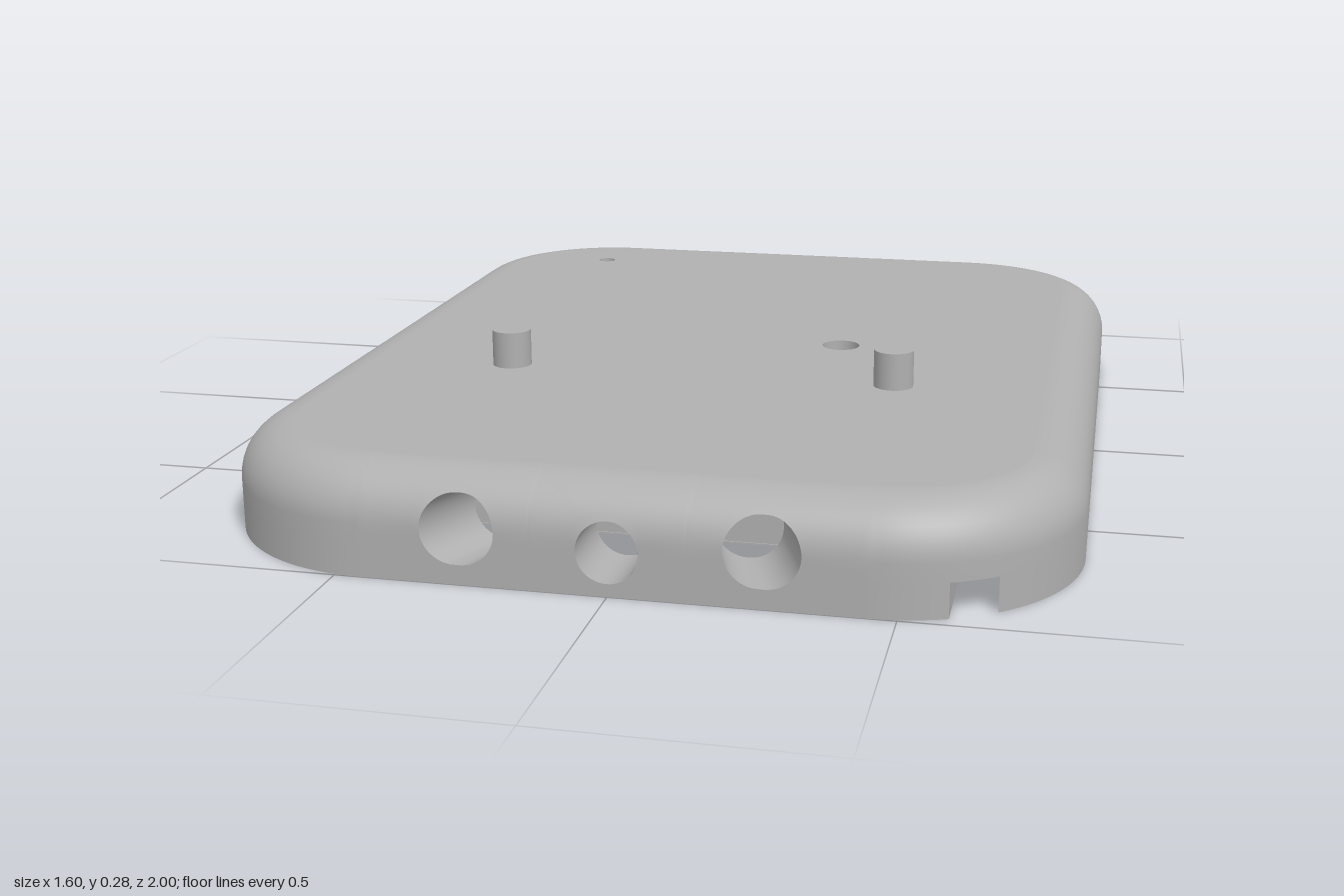
import * as THREE from 'three';

const R = 0.35, F = 0.1, H = 0.2, CH = 0.065, N = 48;
const S_TOP = F + F * Math.PI / 2;

export function createModel() {
  const model = new THREE.Group();
  const grey = new THREE.MeshStandardMaterial({ color: 0xb0b0b0, side: THREE.DoubleSide });
  grey.name = 'plain grey';
  const add = (name, geo) => {
    const m = new THREE.Mesh(geo, grey);
    m.name = name;
    model.add(m);
    return m;
  };

  // Skin between rows of points; skip(row, col) leaves openings
  const grid = (rows, closed = false, skip = () => false) => {
    const n = rows[0].length, idx = [];
    for (let j = 0; j < rows.length - 1; j++)
      for (let i = 0; i < (closed ? n : n - 1); i++) {
        if (skip(j, i)) continue;
        const a = j * n + i, b = j * n + (i + 1) % n;
        idx.push(a, b, b + n, a, b + n, a + n);
      }
    const g = new THREE.BufferGeometry();
    g.setAttribute('position', new THREE.Float32BufferAttribute(rows.flat(2), 3));
    g.setIndex(idx);
    g.computeVertexNormals();
    return g;
  };
  const flat = (g) => {
    const f = g.toNonIndexed();
    f.computeVertexNormals();
    return f;
  };

  // Horizontal face at height y from (x, z) points, with holes
  const circle = (x, z, r) => Array.from({ length: 32 }, (_, i) =>
    [x + r * Math.cos(i * Math.PI / 16), z + r * Math.sin(i * Math.PI / 16)]);
  const rect = ([x0, z0, x1, z1], e = 0) =>
    [[x0 + e, z0 + e], [x1 - e, z0 + e], [x1 - e, z1 - e], [x0 + e, z1 - e]];
  const face = (name, pts, y, holes = []) => {
    const v = (p) => p.map(([x, z]) => new THREE.Vector2(x, z));
    const s = new THREE.Shape(v(pts));
    holes.forEach((h) => s.holes.push(new THREE.Path(v(h))));
    add(name, new THREE.ShapeGeometry(s).rotateX(Math.PI / 2).translate(0, y, 0));
  };
  // Vertical walls; edges on the drilled planes are built separately
  const drilled = [0.86, -0.94, -0.9];
  const walls = (name, pts, y0, y1, closed = true) => {
    const at = (y) => pts.map(([x, z]) => [x, y, z]);
    const skip = (j, i) => {
      const a = pts[i][1], b = pts[(i + 1) % pts.length][1];
      return a === b && drilled.includes(a);
    };
    add(name, flat(grid([at(y0), at(y1)], closed, skip)));
  };
  const bore = (name, x, z, r, y0, y1) => {
    const g = new THREE.CylinderGeometry(r, r, y1 - y0, 32, 1, true);
    add(name, g).position.set(x, (y0 + y1) / 2, z);
  };

  // Outer shell: a filleted profile swept round each side
  const half = (inset) => {
    const r = R - inset, pts = [];
    for (const [cz, a0] of [[0.65, 0], [-0.65, Math.PI / 2]])
      for (let i = 0; i <= 24; i++) {
        const a = a0 + i * Math.PI / 48;
        pts.push([0.45 + r * Math.sin(a), cz + r * Math.cos(a)]);
      }
    return pts;
  };
  const mirror = (pts) => pts.map(([x, z]) => [-x, z]).reverse();
  const lift = (s) => {
    if (s <= F) return [s, 0];
    const a = (s - F) / F;
    return [F + F * Math.sin(a), F - F * Math.cos(a)];
  };
  const profile = [0, CH, F];
  for (let i = 1; i <= 10; i++) profile.push(F + (S_TOP - F) * i / 10);
  for (const side of ['left', 'right']) {
    const rows = profile.map((s) => {
      const [y, d] = lift(s);
      const p = half(d);
      return (side === 'left' ? p : mirror(p)).map(([x, z]) => [x, y, z]);
    });
    add(side + 'Shell', grid(rows, false, (j, i) => side === 'left' && j === 0 && i >= 6 && i < 10));
  }

  // Loop of a round or stadium opening in (x, y)
  const opening = (cx, cy, hw, hh = hw) => Array.from({ length: N }, (_, i) => {
    const a = -0.75 * Math.PI + i / N * 2 * Math.PI, c = Math.cos(a);
    return [cx + hh * c + (hw - hh) * Math.sign(c), cy + hh * Math.sin(a)];
  });
  // Wall panel with an opening; dir is +1 for the front and -1 for the back
  const panel = (name, x0, x1, top, hole, map) => {
    const c = [[x0, 0], [x1, 0], [x1, top], [x0, top]];
    const rim = Array.from({ length: N }, (_, i) => {
      const k = Math.floor(i / 12), t = (i % 12) / 12, a = c[k], b = c[(k + 1) % 4];
      return [a[0] + (b[0] - a[0]) * t, a[1] + (b[1] - a[1]) * t];
    });
    const rows = [];
    for (let j = 0; j <= 10; j++)
      rows.push(rim.map((p, i) => map(p[0] + (hole[i][0] - p[0]) * j / 10, p[1] + (hole[i][1] - p[1]) * j / 10)));
    add(name, grid(rows, true));
    return rows[10];
  };
  const outer = (name, x0, x1, dir, hole) => {
    const bent = hole.map(([x, y]) => [x, y <= F ? y : F + F * Math.asin((y - F) / F)]);
    return panel(name, x0, x1, S_TOP, bent, (x, s) => {
      const [y, d] = lift(s);
      return [x, y, dir * (1 - d)];
    });
  };
  const inner = (name, x0, x1, top, z, hole) => panel(name, x0, x1, top, hole, (x, y) => [x, y, z]);
  const tunnel = (name, a, b) => add(name, grid([a, b], true));

  // Front face: a centre bore and two slanted bores
  const edges = [-0.45, -0.14, 0.14, 0.45], inEdges = [-0.49, -0.13, 0.13, 0.36];
  [-1, 0, 1].forEach((k, i) => {
    const out = k ? opening(k * 0.27, 0.1, 0.068, 0.063) : opening(0, 0.08, 0.056);
    const inn = k ? opening(k * 0.22, 0.1, 0.063) : opening(0, 0.08, 0.056);
    tunnel('frontBore', outer('frontPanel', edges[i], edges[i + 1], 1, out),
      inner('frontRowWall', inEdges[i], inEdges[i + 1], 0.17, 0.86, inn));
  });

  // Back face: recessed port slot, round bore and plain panel
  const slot = opening(0, 0.085, 0.09, 0.042);
  const recess = outer('portPanel', -0.2, 0.2, -1, opening(0, 0.085, 0.14, 0.066));
  const floorRim = recess.map(([x, y]) => [x, y, -0.965]);
  const slotRim = slot.map(([x, y]) => [x, y, -0.965]);
  tunnel('portRecess', recess, floorRim);
  tunnel('portRecessFloor', floorRim, slotRim);
  tunnel('portSlot', slotRim, inner('portInnerWall', -0.13, 0.13, 0.16, -0.94, slot));
  tunnel('backBore', outer('borePanel', 0.2, 0.45, -1, opening(0.34, 0.1, 0.065)),
    inner('boreInnerWall', 0.265, 0.415, 0.17, -0.9, opening(0.34, 0.1, 0.064)));
  add('plainBackPanel', grid(profile.map((s) => {
    const [y, d] = lift(s);
    return [[-0.2, y, d - 1], [-0.45, y, d - 1]];
  })));

  // Cable channel from the front notch to the port and bore pockets
  const rimPts = half(0);
  const cable = [rimPts[6], [0.584, 0.04], [0.2, 0.04], [-0.05, -0.65], [-0.13, -0.65], [-0.13, -0.94],
    [0.13, -0.94], [0.13, -0.8], [0.265, -0.8], [0.265, -0.9], [0.415, -0.9], [0.415, -0.7],
    [0.265, -0.7], [0.265, -0.73], [0.13, -0.73], [0.13, -0.65], [0.03, -0.65], [0.27, -0.055],
    [0.663, -0.055], rimPts[10]];
  // Second channel joining the board pocket and the front row
  const link = [[-0.53, -0.81], [-0.17, -0.81], [-0.17, -0.35], [-0.42, -0.35], [-0.42, 0.7],
    [0.36, 0.7], [0.36, 0.86], [-0.49, 0.86], [-0.49, -0.35], [-0.53, -0.35]];
  const battery = [-0.36, 0.165, 0.36, 0.6];
  const port = [-0.13, -0.94, 0.13, -0.65], boreBox = [0.265, -0.9, 0.415, -0.7];
  const board = [-0.53, -0.81, -0.17, -0.35], row = [-0.49, 0.7, 0.36, 0.86];
  const wireHole = circle(0.25, -0.01, 0.04), pinHole = circle(-0.48, -0.75, 0.02);

  walls('cableChannelWalls', cable, 0, CH, false);
  face('cableChannelRoof', [...cable, rimPts[9], rimPts[8], rimPts[7]], CH,
    [rect(port, 0.002), rect(boreBox, 0.002), wireHole]);
  walls('linkChannelWalls', link, 0, CH);
  face('linkChannelRoof', link, CH, [rect(board, 0.002), rect(row, 0.002)]);
  walls('batteryPocketRim', rect(battery), 0, CH);
  for (const [name, r, depth, holes] of [['portPocket', port, 0.16, []], ['borePocket', boreBox, 0.17, []],
    ['boardPocket', board, 0.1, [pinHole]], ['frontRowPocket', row, 0.17, []], ['batteryPocket', battery, 0.1, []]]) {
    walls(name + 'Walls', rect(r), CH, depth);
    face(name + 'Roof', rect(r), depth, holes);
  }

  // Underside with four screw holes
  const screws = [[0.705, -0.36], [-0.705, -0.36], [0.705, 0.635], [-0.705, 0.635]];
  face('underside', [...rimPts.slice(0, 6), ...cable, ...rimPts.slice(11), ...mirror(rimPts)], 0,
    [link, rect(battery), ...screws.map(([x, z]) => circle(x, z, 0.02))]);
  for (const [x, z] of screws) {
    bore('screwHole', x, z, 0.02, 0, 0.1);
    face('screwHoleEnd', circle(x, z, 0.02), 0.1);
  }

  // Top with through holes and locating pegs
  const topRim = half(F);
  face('top', [...topRim, ...mirror(topRim)], H, [wireHole, pinHole]);
  bore('wireHole', 0.25, -0.01, 0.04, CH, H);
  bore('pinHole', -0.48, -0.75, 0.02, 0.1, H);
  for (const x of [-0.4, 0.4])
    add('peg', new THREE.CylinderGeometry(0.04, 0.04, 0.075, 32)).position.set(x, H + 0.0375, 0.28);

  return model;
}
